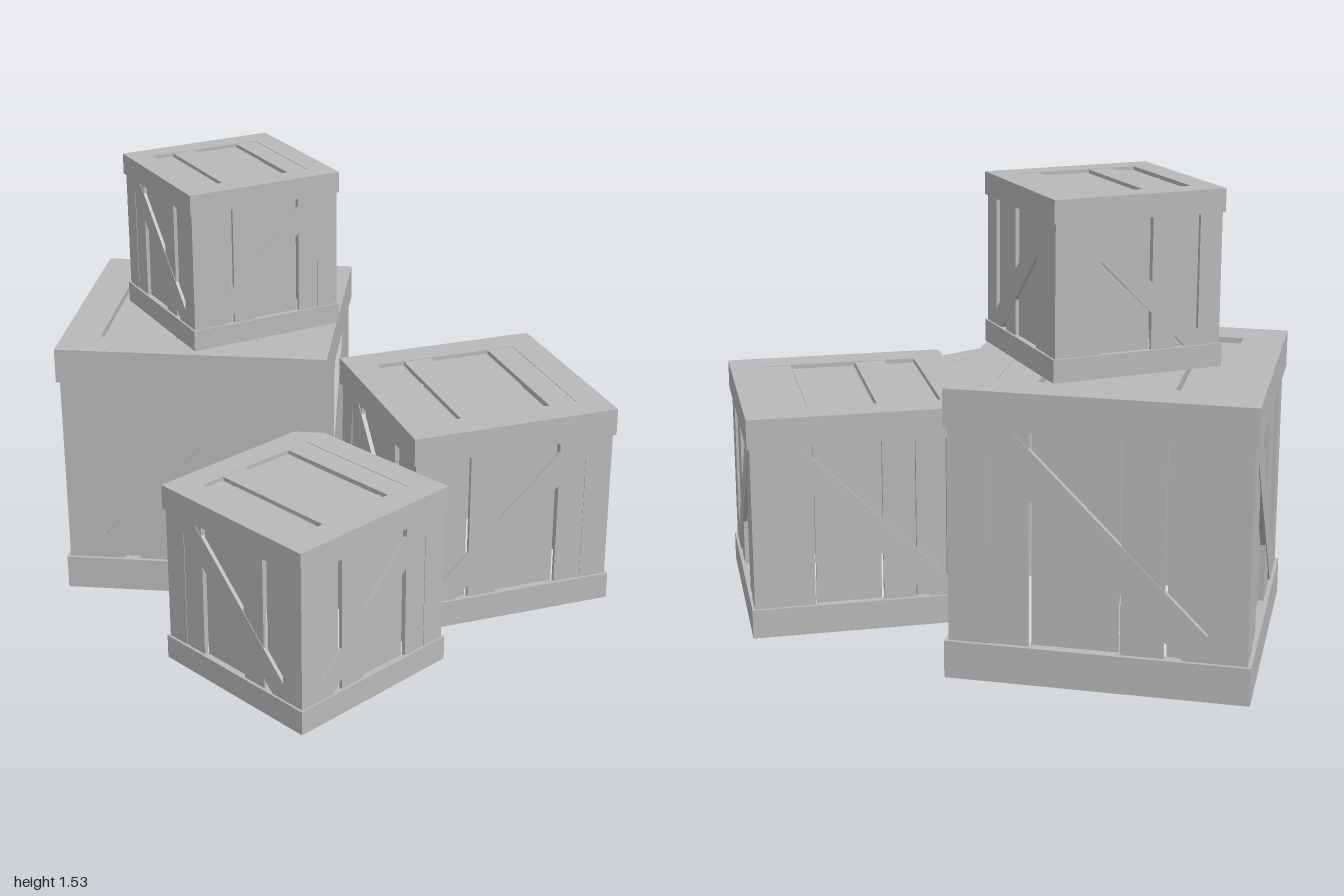
import * as THREE from 'three';

const wood = new THREE.MeshStandardMaterial({ color: 0xb8b8b8 });
wood.name = 'paleGreyWood';

// Proportions of a crate one unit wide
const H = 0.985, RIM = 0.129, BODY = 0.488, OPEN = 0.357, T = 0.02;
const SEAMS = [-OPEN, -0.222, -0.073, 0.22, OPEN];

function add(parent, name, geometry, x = 0, y = 0, z = 0) {
  const mesh = new THREE.Mesh(geometry, wood);
  mesh.name = name;
  mesh.position.set(x, y, z);
  parent.add(mesh);
  return mesh;
}
const box = (parent, name, w, h, d, x, y, z) =>
  add(parent, name, new THREE.BoxGeometry(w, h, d), x, y, z);

// Square ring lying flat, rising from y = 0
function ring(outer, inner, height) {
  const square = (P, r) => new P([[-r, -r], [r, -r], [r, r], [-r, r]].map(p => new THREE.Vector2(...p)));
  const shape = square(THREE.Shape, outer);
  shape.holes.push(square(THREE.Path, inner));
  return new THREE.ExtrudeGeometry(shape, { depth: height, bevelEnabled: false }).rotateX(-Math.PI / 2);
}

// Calls back for each plank: centre, width, depth of its face, and whether it is recessed
function eachPlank(fn) {
  for (let i = 0; i < 4; i++) {
    const low = i % 2 === 0;
    const a = SEAMS[i] + (i > 0 ? 0.004 : 0), b = SEAMS[i + 1] - (i < 3 ? 0.004 : 0);
    fn((a + b) / 2, b - a, low ? 0.022 : 0.003, low);
  }
}

// One side wall; dir is the outward sign along z
function wall(dir, cornerEnd) {
  const g = new THREE.Group();
  g.name = 'sideWall';
  const y0 = RIM, y1 = H - RIM, mid = H / 2;
  for (const s of [-1, 1])
    box(g, 'cornerPost', cornerEnd - OPEN, H - 0.04, T, s * (OPEN + cornerEnd) / 2, mid, dir * (BODY - T / 2));
  eachPlank((x, w, depth) =>
    box(g, 'wallPlank', w, H - 0.06, T, x, mid, dir * (BODY - depth - T / 2)));

  // Diagonal brace, cut to the opening
  const k = 0.083, top = y1 - mid, bottom = y0 - mid;
  const brace = new THREE.Shape([
    [-OPEN, bottom], [bottom + k, bottom], [OPEN, OPEN - k],
    [OPEN, top], [top - k, top], [-OPEN, -OPEN + k],
  ].map(p => new THREE.Vector2(...p)));
  const geo = new THREE.ExtrudeGeometry(brace, { depth: T, bevelEnabled: false });
  add(g, 'diagonalBrace', geo, 0, mid, dir * (BODY - T / 2) - T / 2);
  return g;
}

function crate(name, size, x, y, z, degrees) {
  const g = new THREE.Group();
  g.name = name;

  // Bands around the foot and the top; the bottom is open
  add(g, 'bottomBand', ring(0.5, 0.465, RIM));
  add(g, 'topBand', ring(0.5, 0.465, RIM - T), 0, H - RIM, 0);
  add(g, 'lidFrame', ring(0.5, OPEN, T), 0, H - T, 0);

  // Lid planks
  eachPlank((px, w, depth, low) =>
    box(g, 'lidPlank', w, T, low ? 0.92 : 2 * OPEN, px, H - depth - T / 2, 0));

  // Opposite walls share one layout
  for (const turned of [false, true])
    for (const dir of [1, -1]) {
      const w = wall(dir, turned ? BODY - T : BODY);
      if (turned) w.rotation.y = Math.PI / 2;
      g.add(w);
    }

  g.scale.setScalar(size);
  g.position.set(x, y, z);
  g.rotation.y = THREE.MathUtils.degToRad(degrees);
  return g;
}

export function createModel() {
  const model = new THREE.Group();
  model.name = 'crateStack';
  model.add(
    crate('largeCrate', 0.972, -0.514, 0, -0.452, 0),
    crate('mediumCrate', 0.774, 0.485, 0, -0.27, 25),
    crate('frontCrate', 0.682, -0.06, 0, 0.45, 50),
    crate('topCrate', 0.582, -0.425, 0.957, -0.405, 34.5),
  );
  return model;
}
